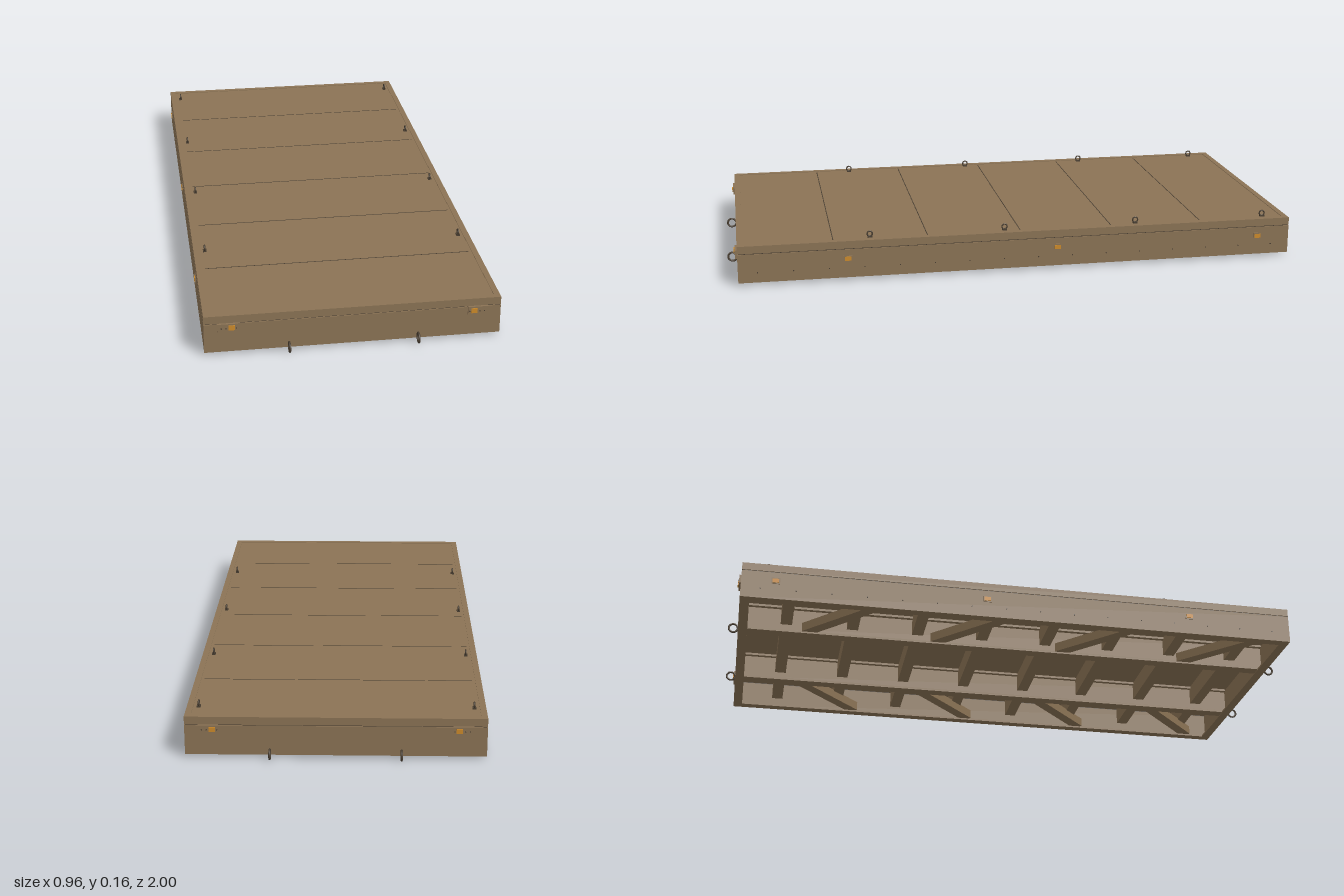
import * as THREE from 'three';

const mat = (name, color) => {
  const m = new THREE.MeshStandardMaterial({ color });
  m.name = name;
  return m;
};

export function createModel() {
  const brown = mat('earth brown paint', 0x8b7355);
  const dark = mat('dark steel', 0x4a3f32);
  const amber = mat('amber lens', 0xcc8a2a);
  const root = new THREE.Group();
  root.name = 'deckPlatform';

  const add = (name, geo, m, x, y, z, ry = 0) => {
    const mesh = new THREE.Mesh(geo, m);
    mesh.name = name;
    mesh.position.set(x, y, z);
    mesh.rotation.y = ry;
    root.add(mesh);
    return mesh;
  };
  // box given by its bottom and top heights
  const box = (name, w, y0, y1, d, x, z, m = brown, ry = 0) =>
    add(name, new THREE.BoxGeometry(w, y1 - y0, d), m, x, (y0 + y1) / 2, z, ry);

  const HX = 0.475, HZ = 0.965, FLOOR = 0.01, DECK = 0.112, TOP = 0.138;

  // deck slab with a slightly raised rim
  box('deckPlate', 2 * HX - 0.03, DECK, TOP - 0.002, 2 * HZ - 0.03, 0, 0);
  for (const s of [-1, 1]) {
    box('deckSideRim', 0.02, DECK, TOP, 2 * HZ, s * (HX - 0.01), 0);
    box('deckEndRim', 2 * HX - 0.04, DECK, TOP, 0.02, 0, s * (HZ - 0.01));
  }

  // seams between the six deck panels
  for (let i = -2; i <= 2; i++)
    box('deckSeam', 0.89, TOP - 0.003, TOP - 0.0015, 0.003, 0, i * 0.322, dark);

  // skirt walls, shadow gap and inward bottom lip
  for (const s of [-1, 1]) {
    box('sideWall', 0.012, FLOOR, 0.109, 2 * HZ, s * (HX - 0.006), 0);
    box('endWall', 2 * HX - 0.024, FLOOR, 0.109, 0.012, 0, s * (HZ - 0.006));
    box('sideGap', 0.006, 0.109, DECK, 2 * HZ - 0.006, s * (HX - 0.006), 0, dark);
    box('endGap', 2 * HX - 0.012, 0.109, DECK, 0.006, 0, s * (HZ - 0.006), dark);
    box('sideLip', 0.02, FLOOR, 0.016, 2 * HZ - 0.024, s * (HX - 0.022), 0);
    box('endLip', 2 * HX - 0.064, FLOOR, 0.016, 0.02, 0, s * (HZ - 0.022));
  }

  // two long I-beams under the deck
  for (const s of [-1, 1]) {
    const x = s * 0.207, len = 2 * HZ - 0.024;
    box('beamWeb', 0.012, 0.018, DECK, len, x, 0);
    box('beamBottomFlange', 0.04, 0.012, 0.02, len, x, 0);
    box('beamTopFlange', 0.04, 0.104, DECK, len, x, 0);
  }

  // cross members, each an upright web with a foot flange
  const bays = [[-0.332, 0.238], [0, 0.402], [0.332, 0.238]];
  for (let i = 0; i < 8; i++) {
    const z = -0.814 + i * 0.2325;
    for (const [x, w] of bays) {
      box('crossMemberWeb', w, 0.052, DECK, 0.01, x, z);
      box('crossMemberFlange', w, 0.046, 0.054, 0.04, x, z + 0.015);
    }
  }

  // diagonal channel braces in the outer bays
  const dx = 0.24, dz = 0.23, braceLen = Math.hypot(dx, dz);
  for (const s of [-1, 1])
    for (let i = 0; i < 4; i++) {
      const z = -0.73 + i * 0.455 + dz / 2, ry = Math.atan2(-dz, s * dx);
      box('diagonalBrace', braceLen, 0.018, 0.024, 0.04, s * 0.335, z, brown, ry);
      for (const e of [-1, 1]) {
        const off = e * 0.017;
        box('diagonalBraceLeg', braceLen, 0.02, 0.05, 0.006,
          s * 0.335 + Math.sin(ry) * off, z + Math.cos(ry) * off, brown, ry);
      }
    }

  // lifting rings on the deck
  const liftRing = new THREE.TorusGeometry(0.009, 0.0025, 8, 20);
  for (const s of [-1, 1])
    for (let i = 0; i < 4; i++) {
      const z = 0.518 - i * 0.465;
      add('liftRing', liftRing, dark, s * 0.437, 0.1485, z, Math.PI / 2);
      box('liftRingFoot', 0.012, TOP - 0.003, TOP + 0.003, 0.016, s * 0.437, z, dark);
    }

  // tow rings at both ends
  const towRing = new THREE.TorusGeometry(0.0155, 0.0035, 10, 24);
  for (const sx of [-1, 1])
    for (const sz of [-1, 1])
      add('towRing', towRing, dark, sx * 0.207, 0.019, sz * 0.981, Math.PI / 2);

  // corner lamp brackets with amber lenses and screws
  const screw = new THREE.CylinderGeometry(0.002, 0.002, 0.003, 8).rotateX(Math.PI / 2);
  for (const sx of [-1, 1])
    for (const sz of [-1, 1]) {
      box('lampBracket', 0.065, 0.083, 0.112, 0.008, sx * 0.4, sz * (HZ + 0.003));
      box('endLamp', 0.02, 0.091, 0.107, 0.005, sx * 0.387, sz * (HZ + 0.008), amber);
      for (const x of [0.372, 0.405, 0.42])
        add('bracketScrew', screw, dark, sx * x, 0.097, sz * (HZ + 0.0075));
    }

  // side marker lamps and a row of small bolts
  const bolt = new THREE.CylinderGeometry(0.002, 0.002, 0.003, 8).rotateZ(Math.PI / 2);
  for (const s of [-1, 1]) {
    for (const z of [0.597, -0.127, -0.85]) {
      box('markerBase', 0.003, 0.066, 0.088, 0.03, s * (HX + 0.001), z);
      box('markerLamp', 0.004, 0.07, 0.084, 0.022, s * (HX + 0.003), z, amber);
    }
    for (let i = 0; i < 16; i++)
      add('sideBolt', bolt, dark, s * (HX + 0.001), 0.045, -0.9 + i * 0.12);
  }
  return root;
}
